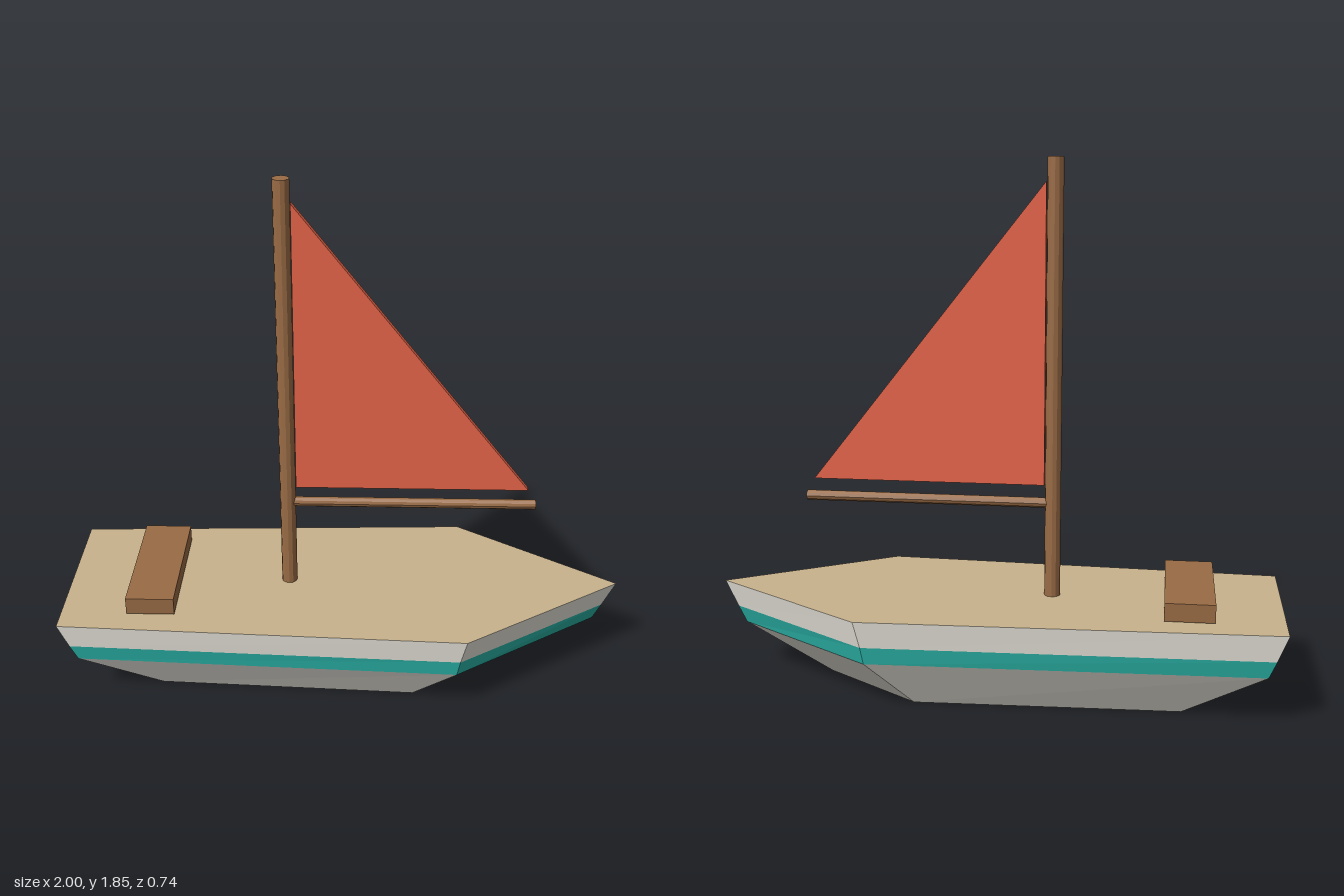
import * as THREE from 'three';

const paint = (color) => new THREE.MeshStandardMaterial({ color, flatShading: true });

// Outline of the hull at one height: stern corners, shoulders and bow point
function ring(y, stern, sternHalf, shoulder, shoulderHalf, bow) {
  return [[stern, sternHalf], [shoulder, shoulderHalf], [bow, 0], [shoulder, -shoulderHalf], [stern, -sternHalf]]
    .map(([x, z]) => new THREE.Vector3(x, y, z));
}

function fromTriangles(points) {
  const geometry = new THREE.BufferGeometry().setFromPoints(points);
  geometry.computeVertexNormals();
  return geometry;
}

// Strip of planking between two outlines
function band(low, high) {
  const points = [];
  low.forEach((a, i) => {
    const j = (i + 1) % low.length;
    points.push(a, low[j], high[j], a, high[j], high[i]);
  });
  return fromTriangles(points);
}

// Flat panel filling an outline
function cap(outline, up) {
  const points = [];
  for (let i = 1; i < outline.length - 1; i++) {
    points.push(outline[0], ...(up ? [outline[i], outline[i + 1]] : [outline[i + 1], outline[i]]));
  }
  return fromTriangles(points);
}

export function createModel() {
  const boat = new THREE.Group();
  boat.name = 'sailboat';
  const white = paint(0xece9e0);
  const teal = paint(0x2ab0a5);
  const tan = paint(0xc8b28c);
  const wood = paint(0x996b45);
  const red = paint(0xe8654a);

  const add = (name, geometry, material, x = 0, y = 0, z = 0) => {
    const mesh = new THREE.Mesh(geometry, material);
    mesh.name = name;
    mesh.position.set(x, y, z);
    boat.add(mesh);
    return mesh;
  };

  // Hull
  const keel = ring(0, -0.66, 0.2, 0.255, 0.24, 0.605);
  const chine = ring(0.175, -0.94, 0.295, 0.405, 0.35, 0.925);
  const stripe = ring(0.235, -0.965, 0.303, 0.415, 0.357, 0.955);
  const rail = ring(0.33, -1, 0.315, 0.435, 0.372, 1);
  add('hullBottom', cap(keel, false), white);
  add('lowerHull', band(keel, chine), white);
  add('hullStripe', band(chine, stripe), teal);
  add('upperHull', band(stripe, rail), white);
  add('deck', cap(rail, true), tan);

  // Bench near the stern
  add('seat', new THREE.BoxGeometry(0.17, 0.063, 0.48), wood, -0.68, 0.367, 0);

  // Mast and boom
  add('mast', new THREE.CylinderGeometry(0.028, 0.028, 1.52, 12), wood, -0.2, 1.09, 0);
  add('boom', new THREE.CylinderGeometry(0.018, 0.018, 0.88, 10), wood, 0.24, 0.665, 0).rotation.z = Math.PI / 2;

  // Triangular sail
  const sail = new THREE.Shape([[-0.17, 0.73], [0.65, 0.73], [-0.17, 1.77]].map(([x, y]) => new THREE.Vector2(x, y)));
  add('sail', new THREE.ExtrudeGeometry(sail, { depth: 0.026, bevelEnabled: false }), red, 0, 0, -0.013);

  return boat;
}
